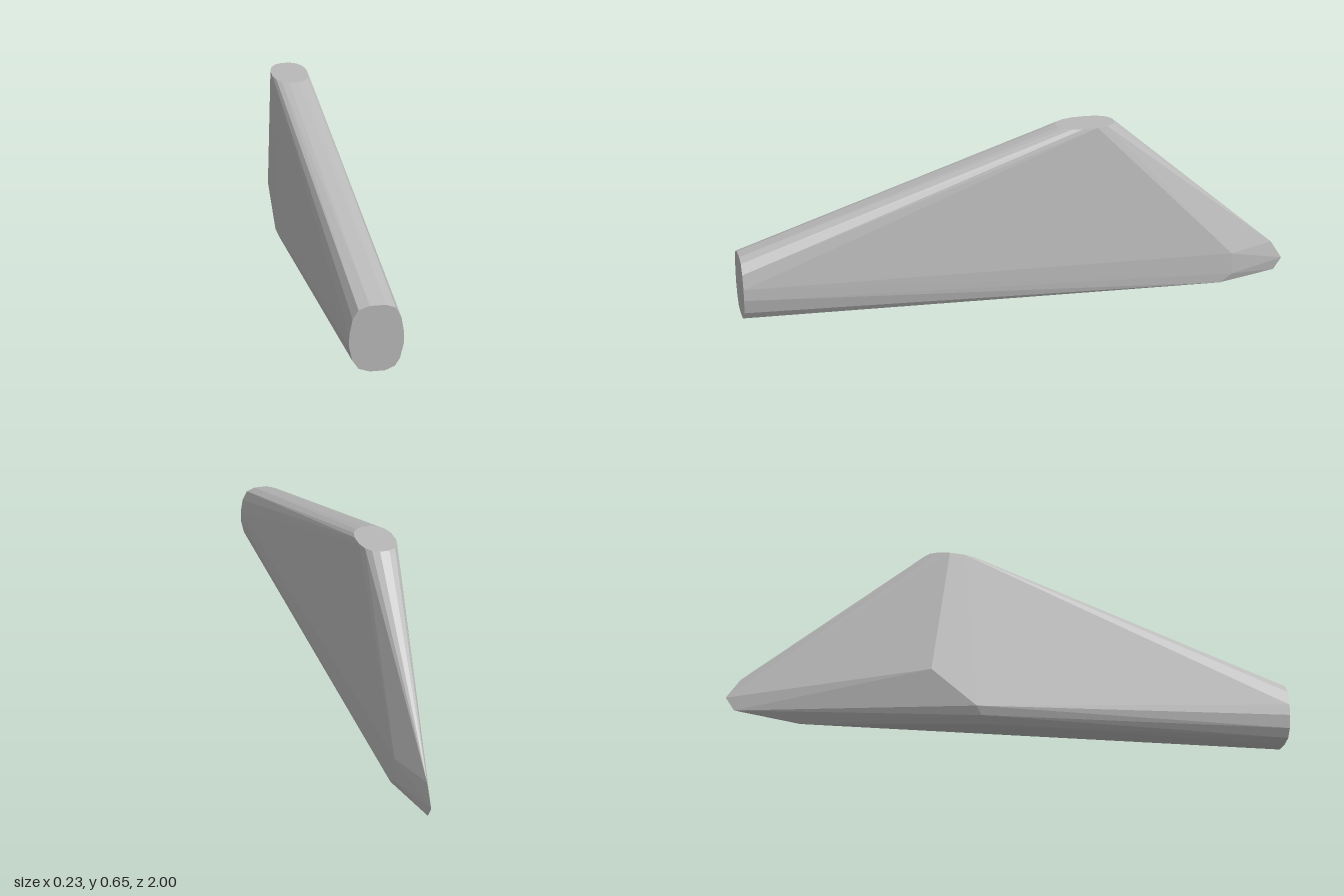
import * as THREE from 'three';
import { ConvexGeometry } from 'three/addons/geometries/ConvexGeometry.js';

const V = (x, y, z) => new THREE.Vector3(x, y, z);

export function createModel() {
  const group = new THREE.Group();
  group.name = 'taperedFin';
  const grey = new THREE.MeshStandardMaterial({ color: 0xb8b8b8, flatShading: true });
  grey.name = 'plain grey';
  const points = [];

  // front cap: rounded outline in the plane z = 1
  const frontOutline = [
    [0.01, 0.346], [0.06, 0.346], [0.09, 0.334], [0.108, 0.3], [0.117, 0.25], [0.117, 0.21],
    [0.106, 0.16], [0.09, 0.134], [0.06, 0.121], [0.012, 0.121], [-0.023, 0.133],
    [-0.043, 0.163], [-0.053, 0.21], [-0.053, 0.25], [-0.043, 0.304], [-0.025, 0.334],
  ];
  for (const [x, y] of frontOutline) points.push(V(x, y, 1));

  // top cap: squarish oval in the plane y = 0.655
  const power = (t) => Math.sign(t) * Math.abs(t) ** 0.85;
  for (let i = 0; i < 16; i++) {
    const a = ((i + 0.5) / 16) * Math.PI * 2;
    points.push(V(-0.048 + 0.065 * power(Math.cos(a)), 0.655, -0.245 + 0.106 * power(Math.sin(a))));
  }

  // rounded lower corner on the right flank
  points.push(V(-0.117, 0.2, -0.33), V(-0.113, 0.085, -0.17), V(-0.1, 0.058, -0.15), V(-0.075, 0.037, -0.14));

  // rear corner on the left flank
  points.push(V(0.05, 0.02, -0.74), V(0.05, 0.05, -0.785), V(0.05, 0.13, -0.78));

  // keel and the sharp rear edge
  points.push(V(0, 0, -0.72), V(0, 0.022, -0.97), V(0, 0.065, -1), V(0, 0.135, -0.955));

  const body = new THREE.Mesh(new ConvexGeometry(points), grey);
  body.name = 'finBody';
  group.add(body);
  return group;
}
